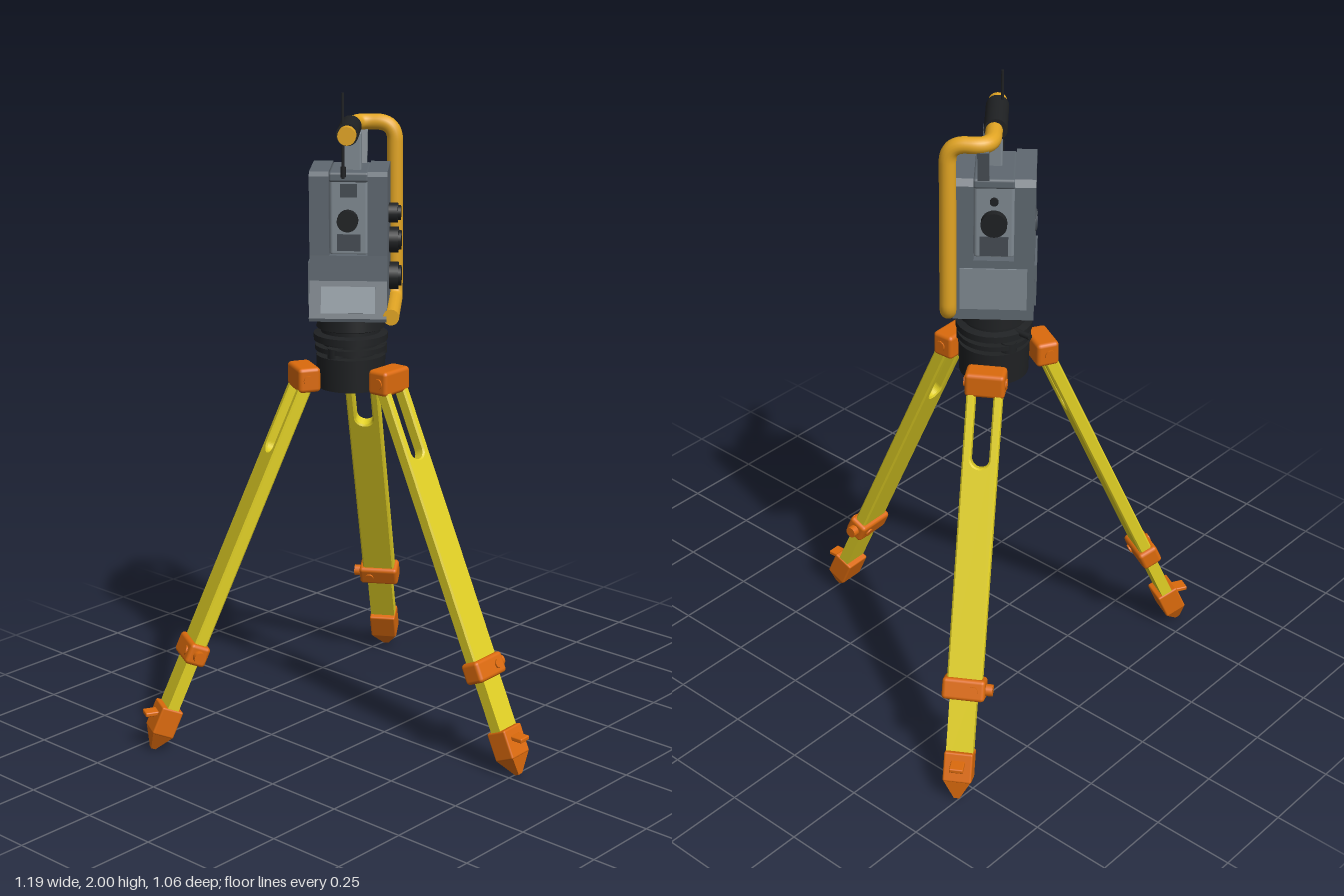
import * as THREE from 'three';
import { RoundedBoxGeometry } from 'three/addons/geometries/RoundedBoxGeometry.js';

function material(name, color, side = THREE.FrontSide) {
  const m = new THREE.MeshStandardMaterial({ color, side });
  m.name = name;
  return m;
}

const yellow = material('leg yellow', 0xe0cf24);
const orange = material('fitting orange', 0xdb6a0c);
const gold = material('handle gold', 0xe2a523);
const grey = material('body grey', 0x5f6870);
const pale = material('telescope grey', 0x7f8991);
const dark = material('panel grey', 0x454c53);
const black = material('rubber black', 0x1f2123);

function add(parent, name, geometry, mat, x = 0, y = 0, z = 0) {
  const mesh = new THREE.Mesh(geometry, mat);
  mesh.name = name;
  mesh.position.set(x, y, z);
  parent.add(mesh);
  return mesh;
}

const rounded = (w, h, d, r = 0.008) => new RoundedBoxGeometry(w, h, d, 2, r);
const alongX = (r, len, n = 24) => new THREE.CylinderGeometry(r, r, len, n).rotateZ(-Math.PI / 2);
const alongZ = (r, len, n = 24) => new THREE.CylinderGeometry(r, r, len, n).rotateX(Math.PI / 2);

// Outline given as [z, y] pairs, extruded to a width along x
function sideExtrude(points, width) {
  const shape = new THREE.Shape(points.map(([z, y]) => new THREE.Vector2(z, y)));
  const g = new THREE.ExtrudeGeometry(shape, { depth: width, bevelEnabled: false });
  return g.translate(0, 0, -width / 2).rotateY(-Math.PI / 2);
}

// Flat board with a rounded slot near its top
function slottedBoard(width, length, thick) {
  const w = width / 2, s = 0.027;
  const shape = new THREE.Shape();
  shape.moveTo(-w, -length);
  shape.lineTo(w, -length);
  shape.lineTo(w, 0);
  shape.lineTo(-w, 0);
  const slot = new THREE.Path();
  slot.moveTo(-s, -0.04);
  slot.lineTo(-s, -0.225);
  slot.absarc(0, -0.225, s, Math.PI, Math.PI * 2, false);
  slot.lineTo(s, -0.04);
  slot.lineTo(-s, -0.04);
  shape.holes.push(slot);
  const bevel = 0.005;
  return new THREE.ExtrudeGeometry(shape, {
    depth: thick - 2 * bevel, bevelThickness: bevel, bevelSize: bevel,
    bevelOffset: -bevel, bevelSegments: 1, curveSegments: 10,
  }).translate(0, 0, -thick / 2 + bevel);
}

function makeLeg() {
  const arm = new THREE.Group();
  arm.name = 'tripodLeg';

  // Hinge on the tripod head
  add(arm, 'hingeBlock', rounded(0.118, 0.076, 0.07, 0.012), orange, 0, 1.14, 0.15);
  add(arm, 'hingePin', alongX(0.016, 0.126, 16), orange, 0, 1.14, 0.155);

  // Splayed board, extension, clamp and foot
  const leg = new THREE.Group();
  leg.name = 'splayedLeg';
  leg.position.set(0, 1.14, 0.15);
  leg.rotation.x = -0.417;
  arm.add(leg);
  add(leg, 'upperLeg', slottedBoard(0.104, 0.91, 0.04), yellow);
  add(leg, 'lowerLeg', new THREE.BoxGeometry(0.08, 0.3, 0.036), yellow, 0, -1.01, 0);
  add(leg, 'clampCollar', rounded(0.128, 0.066, 0.066, 0.012), orange, 0, -0.91, 0);
  add(leg, 'clampKnob', alongX(0.018, 0.024, 16), orange, 0.072, -0.91, 0);
  add(leg, 'clampScrew', alongZ(0.014, 0.076, 16), orange, 0.03, -0.91, 0);
  add(leg, 'footBlock', rounded(0.086, 0.09, 0.07, 0.006), orange, 0, -1.145, 0);
  const spike = new THREE.CylinderGeometry(0.058, 0.012, 0.06, 4, 1).rotateY(Math.PI / 4)
    .scale(1, 1, 0.82).toNonIndexed();
  spike.computeVertexNormals();
  add(leg, 'footSpike', spike, orange, 0, -1.216, 0);

  // Foot step
  add(arm, 'footStep', rounded(0.042, 0.014, 0.07, 0.004), orange, 0, 0.12, 0.642);
  return arm;
}

function makeBase() {
  const base = new THREE.Group();
  base.name = 'levellingBase';
  const rings = [[0, 1.1], [0.102, 1.1], [0.105, 1.2], [0.075, 1.2], [0.075, 1.215], [0.108, 1.215],
    [0.108, 1.23], [0.085, 1.23], [0.085, 1.245], [0.112, 1.245], [0.112, 1.265], [0.09, 1.27],
    [0.09, 1.28], [0.103, 1.285], [0.1, 1.335], [0, 1.335]];
  // Each band is its own short lathe, which keeps the ring edges sharp
  for (let i = 0; i < rings.length - 1; i++) {
    const band = rings.slice(i, i + 2).map(([r, y]) => new THREE.Vector2(r, y));
    add(base, 'baseRing', new THREE.LatheGeometry(band, 40), black);
  }
  for (let i = 0; i < 3; i++) {
    const a = i * Math.PI * 2 / 3 + 0.7;
    add(base, 'levellingScrew', new THREE.CylinderGeometry(0.025, 0.025, 0.03, 18), black,
      Math.sin(a) * 0.085, 1.218, Math.cos(a) * 0.085);
  }
  add(base, 'lockLever', alongZ(0.009, 0.06, 12), black, 0.01, 1.262, -0.115);
  return base;
}

function makeInstrument() {
  const g = new THREE.Group();
  g.name = 'instrument';

  // Lower housing with sloping keypad, and two standards
  add(g, 'lowerHousing', sideExtrude([[-0.12, 1.33], [0.143, 1.33], [0.146, 1.34],
    [0.104, 1.445], [0.1, 1.52], [-0.12, 1.52]], 0.23), grey);
  for (const s of [-1, 1]) {
    add(g, 'standard', sideExtrude([[-0.12, 1.515], [0.1, 1.515], [0.1, 1.755], [0.088, 1.768],
      [-0.105, 1.768], [-0.12, 1.75]], 0.058), grey, s * 0.086);
  }
  const keypad = add(g, 'keypad', new THREE.BoxGeometry(0.16, 0.08, 0.005), pale, 0, 1.392, 0.1262);
  keypad.rotation.x = -0.381;

  // Telescope between the standards
  add(g, 'telescope', rounded(0.114, 0.24, 0.175, 0.01), pale, 0, 1.635, -0.01);
  add(g, 'topBridge', rounded(0.118, 0.03, 0.19), grey, 0, 1.75, -0.01);
  add(g, 'frontRecess', new THREE.BoxGeometry(0.07, 0.05, 0.006), dark, 0, 1.555, 0.078);
  add(g, 'backRecess', new THREE.BoxGeometry(0.08, 0.06, 0.006), dark, 0, 1.555, -0.098);
  add(g, 'frontSlot', new THREE.BoxGeometry(0.05, 0.04, 0.006), dark, 0, 1.71, 0.078);
  add(g, 'eyepieceBarrel', alongZ(0.022, 0.05), black, 0, 1.63, 0.09);
  add(g, 'eyepiece', alongZ(0.031, 0.03), black, 0, 1.63, 0.13);
  add(g, 'objectiveLens', alongZ(0.037, 0.024), black, 0, 1.63, -0.108);
  add(g, 'sightLens', alongZ(0.012, 0.012, 16), black, 0, 1.695, -0.1);
  add(g, 'backPanel', new THREE.BoxGeometry(0.19, 0.13, 0.006), pale, 0, 1.43, -0.121);

  // Adjustment knobs
  for (const [y, z, r] of [[1.63, -0.006, 0.03], [1.54, -0.048, 0.039], [1.43, -0.048, 0.041]]) {
    add(g, 'knob', alongX(r, 0.032), black, 0.126, y, z);
    add(g, 'knobCap', alongX(r * 0.75, 0.01), black, 0.146, y, z);
  }

  // Plain side with axis cap and battery cover
  add(g, 'axisRing', new THREE.TorusGeometry(0.028, 0.004, 8, 28).rotateY(Math.PI / 2), dark, -0.115, 1.59, 0);
  add(g, 'axisCap', alongX(0.025, 0.008), grey, -0.116, 1.59, 0);
  add(g, 'batteryCover', new THREE.BoxGeometry(0.008, 0.13, 0.18), grey, -0.117, 1.43, -0.005);

  // Bent carrying handle
  const corners = [[0.128, 1.345, 0.14], [0.128, 1.345, -0.125], [0.128, 1.882, -0.125],
    [0.006, 1.882, -0.14], [0, 1.882, 0.145]].map(p => new THREE.Vector3(...p));
  const path = new THREE.CurvePath();
  const bend = [0, 0.04, 0.055, 0.06];
  let from = corners[0];
  for (let i = 1; i < 4; i++) {
    const c = corners[i];
    const near = c.clone().add(corners[i - 1].clone().sub(c).setLength(bend[i]));
    const far = c.clone().add(corners[i + 1].clone().sub(c).setLength(bend[i]));
    path.add(new THREE.LineCurve3(from, near));
    path.add(new THREE.QuadraticBezierCurve3(near, c, far));
    from = far;
  }
  path.add(new THREE.LineCurve3(from, corners[4]));
  add(g, 'handle', new THREE.TubeGeometry(path, 160, 0.024, 16), gold);
  add(g, 'handleLowerEnd', alongZ(0.024, 0.01), gold, 0.128, 1.345, 0.138);
  add(g, 'handleEnd', alongZ(0.027, 0.04), gold, 0, 1.882, 0.137);
  add(g, 'grip', alongZ(0.033, 0.16), black, 0, 1.882, 0.046);

  // Handle supports
  add(g, 'handlePost', rounded(0.055, 0.13, 0.055, 0.006), pale, 0.008, 1.81, 0.01);
  const strut = add(g, 'handleStrut', new THREE.BoxGeometry(0.032, 0.13, 0.022), grey, 0.03, 1.812, -0.115);
  strut.rotation.x = -0.42;

  // Antenna
  add(g, 'antenna', new THREE.CylinderGeometry(0.004, 0.005, 0.25, 10), black, -0.014, 1.875, 0.104);
  add(g, 'antennaFoot', new THREE.CylinderGeometry(0.008, 0.008, 0.03, 12), black, -0.014, 1.77, 0.104);
  return g;
}

export function createModel() {
  const model = new THREE.Group();
  model.name = 'surveyInstrumentOnTripod';
  const assembly = new THREE.Group();
  assembly.name = 'assembly';
  assembly.position.set(0.01, 0, -0.145);
  model.add(assembly);

  for (let i = 0; i < 3; i++) {
    const leg = makeLeg();
    leg.rotation.y = 0.038 + i * Math.PI * 2 / 3;
    assembly.add(leg);
  }
  assembly.add(makeBase());
  const instrument = makeInstrument();
  instrument.rotation.y = -0.89;
  assembly.add(instrument);
  return model;
}
